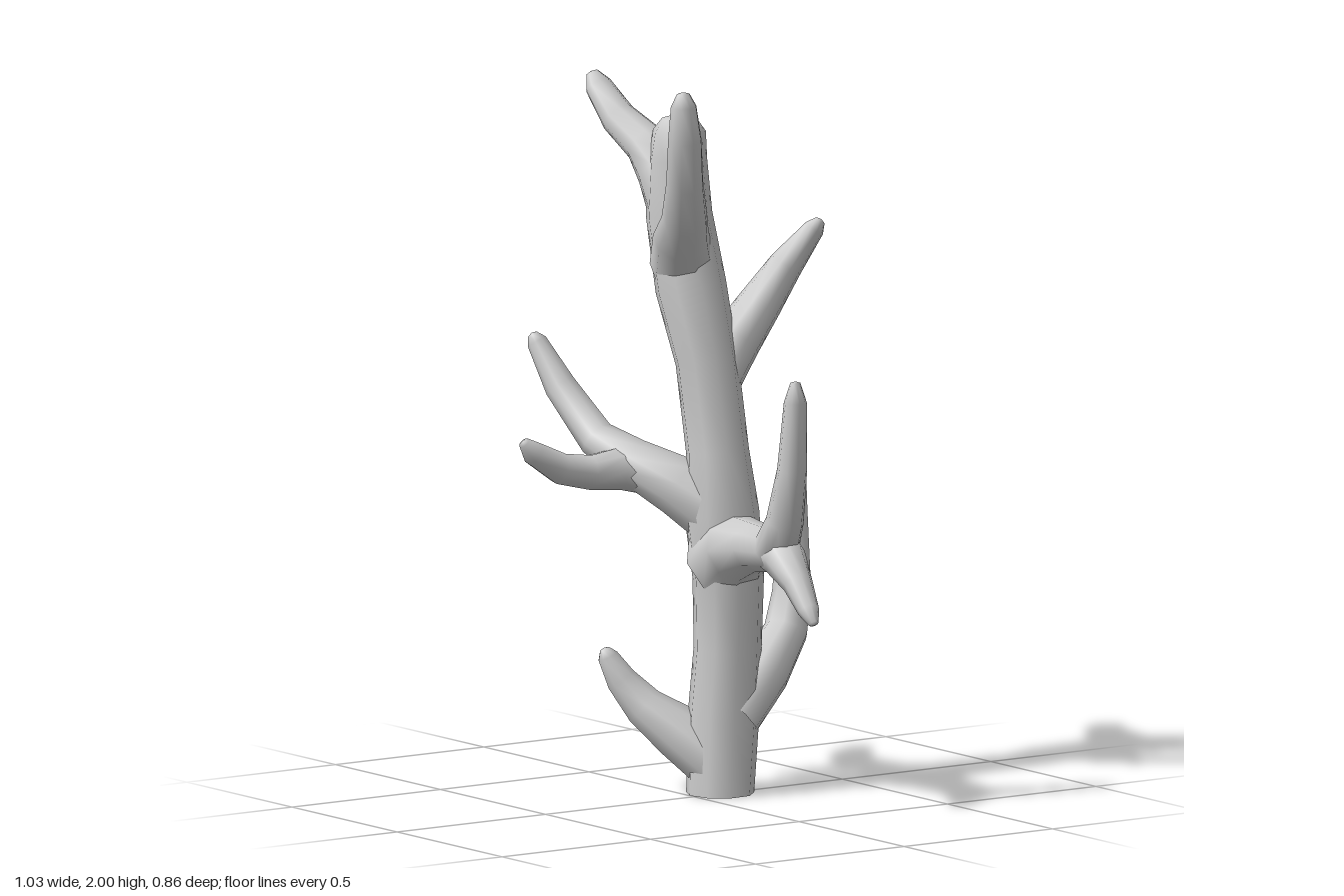
import * as THREE from 'three';

const SIDES = 9;

// Sweep a ring of changing radius along points [x, y, z, r]; the far end is closed by an apex.
function limbGeometry(points, upright) {
  const p = points.map(([x, y, z]) => new THREE.Vector3(x, y, z));
  const last = p.length - 1;
  const positions = [], index = [];
  const side = new THREE.Vector3(1, 0, 0.3);
  const tangent = new THREE.Vector3(), other = new THREE.Vector3();
  p.forEach((c, i) => {
    const before = c.clone().sub(p[Math.max(i - 1, 0)]).normalize();
    const after = p[Math.min(i + 1, last)].clone().sub(c).normalize();
    tangent.addVectors(before, after).normalize();
    if (i === 0 && upright) tangent.set(0, 1, 0);
    // carry the previous side vector along so the rings do not twist
    if (i === 0 && Math.abs(side.dot(tangent)) > 0.8) side.set(0, 0, 1);
    side.addScaledVector(tangent, -side.dot(tangent)).normalize();
    other.crossVectors(tangent, side);
    for (let k = 0; k < SIDES; k++) {
      const a = (k / SIDES) * Math.PI * 2;
      const v = c.clone()
        .addScaledVector(side, Math.cos(a) * points[i][3])
        .addScaledVector(other, Math.sin(a) * points[i][3]);
      positions.push(v.x, v.y, v.z);
    }
  });
  for (let i = 0; i < last; i++) {
    for (let k = 0; k < SIDES; k++) {
      const a = i * SIDES + k, b = i * SIDES + (k + 1) % SIDES;
      index.push(a, b, a + SIDES, b, b + SIDES, a + SIDES);
    }
  }
  const apex = p[last].clone().addScaledVector(tangent, points[last][3] * 0.3);
  positions.push(apex.x, apex.y, apex.z);
  for (let k = 0; k < SIDES; k++) {
    index.push(last * SIDES + k, last * SIDES + (k + 1) % SIDES, p.length * SIDES);
  }
  const g = new THREE.BufferGeometry();
  g.setAttribute('position', new THREE.Float32BufferAttribute(positions, 3));
  g.setIndex(index);
  g.computeVertexNormals();
  return g;
}

// Each limb is a list of [x, y, z, radius], from root to tip
const limbs = {
  trunk: [
    [-0.01, 0, -0.095, 0.095], [-0.01, 0.2, -0.105, 0.1], [-0.01, 0.4, -0.12, 0.095],
    [0, 0.6, -0.115, 0.1], [-0.01, 0.78, -0.1, 0.105], [-0.03, 0.95, -0.1, 0.088],
    [-0.06, 1.2, -0.085, 0.088], [-0.115, 1.4, -0.07, 0.1], [-0.15, 1.6, -0.055, 0.093],
    [-0.155, 1.75, -0.055, 0.082], [-0.155, 1.83, -0.06, 0.074], [-0.155, 1.865, -0.06, 0.048],
  ],
  lowerFrontBranch: [
    [-0.01, 0.08, -0.09, 0.085], [-0.09, 0.165, -0.015, 0.078], [-0.16, 0.235, 0.055, 0.058],
    [-0.2, 0.31, 0.105, 0.043], [-0.22, 0.375, 0.135, 0.029], [-0.224, 0.395, 0.142, 0.014],
  ],
  lowerBackBranch: [
    [0.01, 0.22, -0.12, 0.085], [0.01, 0.33, -0.23, 0.075], [-0.02, 0.43, -0.325, 0.062],
    [-0.055, 0.53, -0.37, 0.055], [-0.08, 0.75, -0.39, 0.042], [-0.085, 0.93, -0.402, 0.028],
    [-0.085, 0.965, -0.403, 0.014],
  ],
  leftBranch: [
    [0, 0.66, -0.11, 0.12], [0.08, 0.7, -0.09, 0.095], [0.18, 0.715, -0.08, 0.07],
    [0.3, 0.725, -0.065, 0.066], [0.355, 0.81, -0.055, 0.053], [0.39, 0.96, -0.055, 0.042],
    [0.405, 1.15, -0.055, 0.032], [0.405, 1.205, -0.055, 0.014],
  ],
  leftDroopingTwig: [
    [0.24, 0.725, -0.075, 0.058], [0.34, 0.705, -0.065, 0.062], [0.41, 0.645, -0.06, 0.042],
    [0.475, 0.58, -0.05, 0.03], [0.503, 0.547, -0.048, 0.014],
  ],
  rightBranch: [
    [-0.02, 0.78, -0.1, 0.1], [-0.1, 0.85, -0.02, 0.085], [-0.19, 0.915, 0.07, 0.066],
    [-0.31, 0.965, 0.105, 0.054], [-0.43, 1.1, 0.145, 0.045], [-0.49, 1.22, 0.182, 0.029],
    [-0.5, 1.24, 0.19, 0.014],
  ],
  rightForwardTwig: [
    [-0.15, 0.88, 0.02, 0.06], [-0.2, 0.9, 0.1, 0.062], [-0.215, 0.895, 0.2, 0.049],
    [-0.215, 0.915, 0.3, 0.044], [-0.218, 0.965, 0.385, 0.034], [-0.218, 0.998, 0.418, 0.016],
  ],
  upperBackBranch: [
    [-0.07, 1.12, -0.09, 0.085], [-0.065, 1.25, -0.19, 0.072], [-0.055, 1.34, -0.26, 0.062],
    [-0.02, 1.45, -0.325, 0.048], [0.02, 1.55, -0.392, 0.029], [0.03, 1.572, -0.405, 0.014],
  ],
  upperLeftBranch: [
    [-0.14, 1.46, -0.06, 0.09], [-0.06, 1.555, 0, 0.078], [0.02, 1.62, 0.045, 0.064],
    [0.085, 1.73, 0.09, 0.052], [0.125, 1.86, 0.118, 0.047], [0.13, 1.955, 0.126, 0.036],
    [0.13, 1.99, 0.128, 0.018],
  ],
  upperRightBranch: [
    [-0.15, 1.62, -0.055, 0.09], [-0.21, 1.725, -0.05, 0.085], [-0.28, 1.785, -0.03, 0.06],
    [-0.37, 1.845, -0.005, 0.05], [-0.44, 1.925, 0.012, 0.038], [-0.462, 1.957, 0.016, 0.018],
  ],
};

export function createModel() {
  const model = new THREE.Group();
  const material = new THREE.MeshStandardMaterial({ color: 0xcccccc });
  for (const [name, points] of Object.entries(limbs)) {
    const mesh = new THREE.Mesh(limbGeometry(points, name === 'trunk'), material);
    mesh.name = name;
    model.add(mesh);
  }
  // flat cut under the trunk
  const base = new THREE.Mesh(new THREE.CircleGeometry(0.093, SIDES), material);
  base.name = 'trunkBase';
  base.rotation.x = Math.PI / 2;
  base.position.set(-0.01, 0, -0.095);
  model.add(base);
  return model;
}
